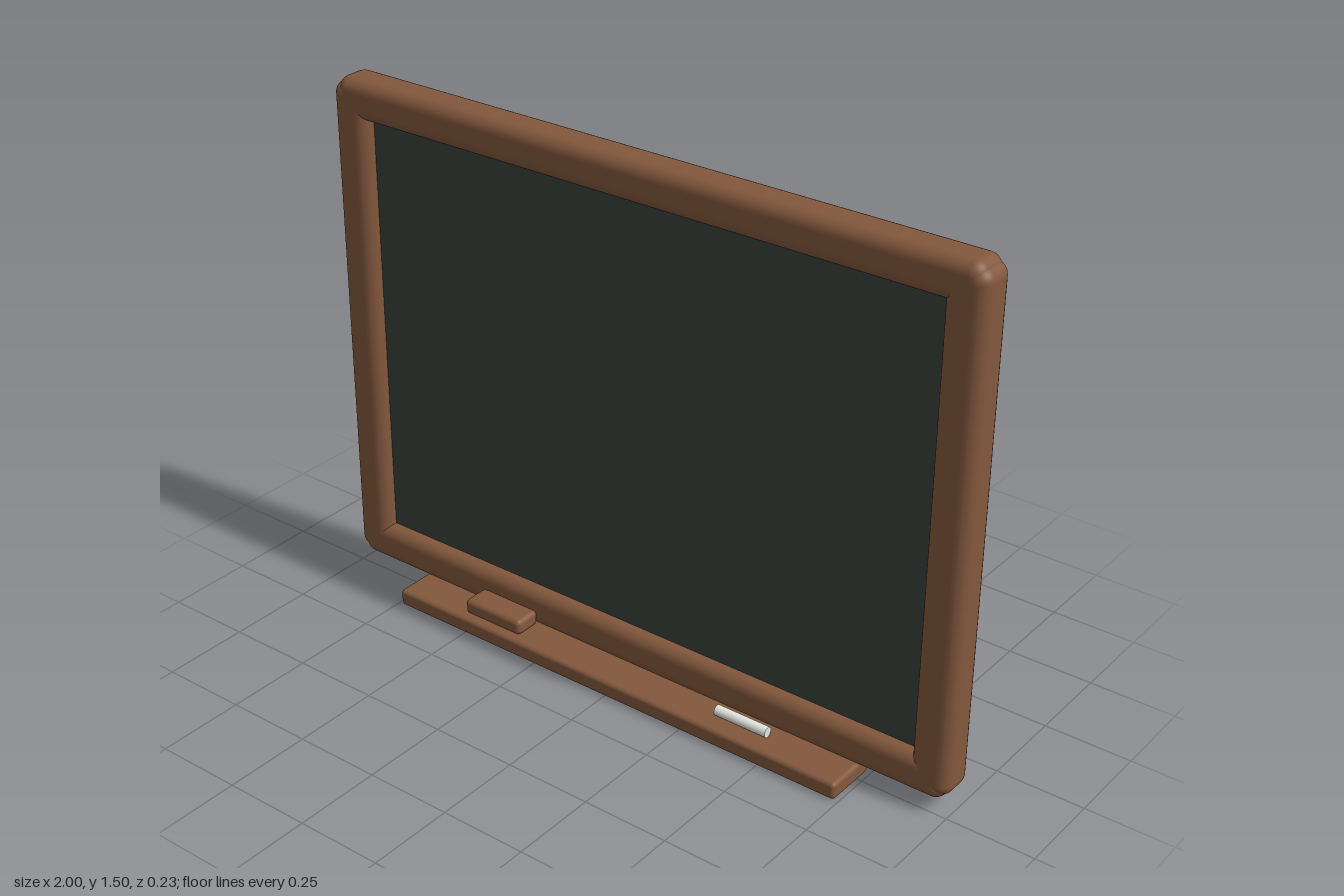
import * as THREE from 'three';
import { RoundedBoxGeometry } from 'three/addons/geometries/RoundedBoxGeometry.js';

export function createModel() {
  const group = new THREE.Group();
  group.name = 'chalkboard';

  const material = (name, color) => {
    const m = new THREE.MeshStandardMaterial({ color });
    m.name = name;
    return m;
  };
  const wood = material('brown wood', 0x83583d);
  const slate = material('dark green slate', 0x38423b);
  const white = material('white chalk', 0xe6e6e2);

  // Rounded box given by its minimum and maximum corners
  const box = (name, mat, min, max, radius) => {
    const size = max.map((v, i) => v - min[i]);
    const mesh = new THREE.Mesh(new RoundedBoxGeometry(...size, 4, radius), mat);
    mesh.position.set(...max.map((v, i) => (v + min[i]) / 2));
    mesh.name = name;
    group.add(mesh);
    return mesh;
  };

  // Writing surface, standing slightly proud of the frame at the back
  box('board', slate, [-0.9, 0.13, -0.115], [0.9, 1.41, -0.03], 0.01);

  // Frame bars, overlapping at the corners
  const back = -0.105, front = 0.01, r = 0.036;
  box('frameTop', wood, [-0.985, 1.392, back], [0.985, 1.505, front], r);
  box('frameBottom', wood, [-0.985, 0.038, back], [0.985, 0.15, front], r);
  box('frameLeft', wood, [0.885, 0.053, back], [1, 1.49, front], r);
  box('frameRight', wood, [-1, 0.053, back], [-0.885, 1.49, front], r);

  // Tray below the frame
  box('tray', wood, [-0.74, 0, -0.045], [0.74, 0.05, 0.115], 0.012);

  // Eraser and chalk lying on the tray
  box('eraser', wood, [-0.515, 0.048, 0.007], [-0.318, 0.094, 0.09], 0.014);
  const chalk = new THREE.Mesh(new THREE.CylinderGeometry(0.015, 0.015, 0.162, 20), white);
  chalk.rotation.z = Math.PI / 2;
  chalk.position.set(0.41, 0.065, 0.05);
  chalk.name = 'chalk';
  group.add(chalk);

  return group;
}
